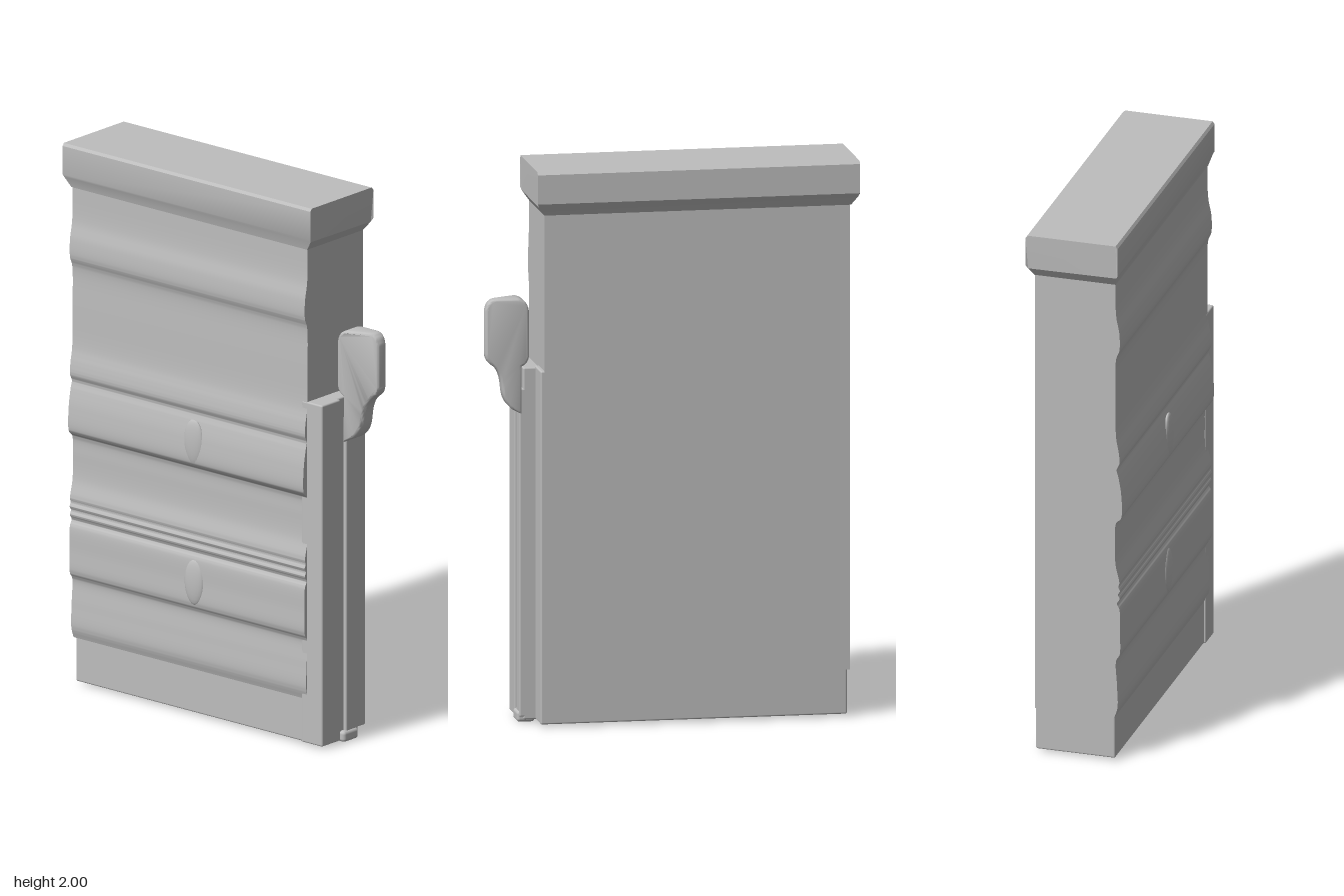
import * as THREE from 'three';
import { toCreasedNormals } from 'three/addons/utils/BufferGeometryUtils.js';
import { RoundedBoxGeometry } from 'three/addons/geometries/RoundedBoxGeometry.js';

const grey = new THREE.MeshStandardMaterial({ color: 0xbebebe });
grey.name = 'plain grey';

function add(parent, name, geometry) {
  const mesh = new THREE.Mesh(geometry, grey);
  mesh.name = name;
  parent.add(mesh);
  return mesh;
}

// Box given by its limits, with small rounded edges
function block(parent, name, [x0, x1], [y0, y1], [z0, z1], r = 0.006) {
  const mesh = add(parent, name, new RoundedBoxGeometry(x1 - x0, y1 - y0, z1 - z0, 2, r));
  mesh.position.set((x0 + x1) / 2, (y0 + y1) / 2, (z0 + z1) / 2);
  return mesh;
}

// Sweep a side profile of [z, y] points along x
function sweepX(points, x0, x1) {
  const shape = new THREE.Shape(points.map(([z, y]) => new THREE.Vector2(-z, y)));
  const geometry = new THREE.ExtrudeGeometry(shape, { depth: x1 - x0, bevelEnabled: false });
  geometry.rotateY(Math.PI / 2).translate(x0, 0, 0);
  return toCreasedNormals(geometry, 0.6);
}

// Smooth front outline through a few [z, y] points
function smooth(points, count) {
  const curve = new THREE.CatmullRomCurve3(points.map(([z, y]) => new THREE.Vector3(z, y, 0)), false, 'centripetal');
  return curve.getPoints(count).map((p) => [p.x, p.y]);
}

export function createModel() {
  const group = new THREE.Group();
  group.name = 'slimCase';

  // Foot, set in slightly from the body
  block(group, 'foot', [-0.62, 0.475], [0.01, 0.22], [-0.15, 0.143]);

  // Case body with a gently rippled front
  const front = smooth([
    [0.143, 0.17], [0.155, 0.21], [0.153, 0.3], [0.15, 0.39], [0.163, 0.415], [0.164, 0.5],
    [0.162, 0.59], [0.153, 0.61], [0.163, 0.63], [0.157, 0.645], [0.164, 0.66], [0.158, 0.675],
    [0.162, 0.69], [0.148, 0.76], [0.146, 0.85], [0.15, 0.92], [0.168, 0.94], [0.169, 1.03],
    [0.158, 1.1], [0.152, 1.125], [0.162, 1.15], [0.16, 1.19], [0.15, 1.25], [0.148, 1.4],
    [0.15, 1.55], [0.162, 1.585], [0.162, 1.65], [0.15, 1.72], [0.148, 1.9],
  ], 200);
  add(group, 'body', sweepX([[-0.15, 0.17], ...front, [-0.15, 1.9]], -0.63, 0.467));

  // Small nubs in the middle of the two raised bands
  for (const [y, z] of [[1.02, 0.163], [0.5, 0.16]]) {
    const nub = add(group, 'bandNub', new THREE.SphereGeometry(1, 20, 12));
    nub.scale.set(0.045, 0.085, 0.015);
    nub.position.set(-0.05, y, z);
  }

  // Flared cap
  const cap = [
    [-0.15, 1.84], [0.15, 1.84], [0.16, 1.875], [0.165, 1.885], [0.165, 1.99],
    [0.158, 2], [-0.165, 2], [-0.175, 1.99], [-0.175, 1.885], [-0.167, 1.872],
  ];
  const capGeometry = sweepX(cap, -0.662, 0.495);
  const p = capGeometry.attributes.position;
  for (let i = 0; i < p.count; i++) {
    if (p.getY(i) < 1.88) { // draw the lower lip in to meet the sides
      const t = (1.88 - p.getY(i)) / 0.04;
      p.setX(i, p.getX(i) + (p.getX(i) < 0 ? 1 : -1) * 0.028 * t);
    }
  }
  capGeometry.computeVertexNormals();
  add(group, 'cap', toCreasedNormals(capGeometry, 0.5));

  // Side housing: front strip, grooved rail and rear panel
  block(group, 'frontStrip', [0.44, 0.537], [0.01, 1.275], [0.05, 0.15]);
  block(group, 'sideRail', [0.44, 0.523], [0.01, 1.275], [-0.045, 0.06]);
  block(group, 'railRib', [0.49, 0.537], [0.02, 1.2], [-0.045, 0.02]);
  block(group, 'rearPanel', [0.44, 0.48], [0.01, 1.28], [-0.15, -0.03]);
  block(group, 'railFoot', [0.48, 0.545], [0, 0.04], [-0.04, 0.04], 0.012);

  // Thumb lever, thinned and set back towards its outer edge
  const outline = new THREE.Shape();
  outline.moveTo(0.53, 1.11);
  outline.lineTo(0.56, 1.125);
  outline.quadraticCurveTo(0.595, 1.15, 0.6, 1.2);
  outline.quadraticCurveTo(0.605, 1.27, 0.64, 1.29);
  outline.quadraticCurveTo(0.66, 1.305, 0.66, 1.33);
  outline.lineTo(0.66, 1.48);
  outline.quadraticCurveTo(0.655, 1.525, 0.62, 1.525);
  outline.lineTo(0.545, 1.525);
  outline.quadraticCurveTo(0.505, 1.52, 0.502, 1.47);
  outline.lineTo(0.502, 1.32);
  outline.quadraticCurveTo(0.505, 1.29, 0.53, 1.28);
  const lever = new THREE.ExtrudeGeometry(outline, {
    depth: 0.066, bevelThickness: 0.01, bevelSize: 0.008, bevelOffset: -0.008, bevelSegments: 3, curveSegments: 8,
  });
  lever.translate(0, 0, -0.045);
  const q = lever.attributes.position;
  for (let i = 0; i < q.count; i++) {
    const t = THREE.MathUtils.smoothstep(q.getX(i), 0.54, 0.64);
    if (q.getZ(i) > -0.02) q.setZ(i, q.getZ(i) - 0.04 * t);
  }
  lever.computeVertexNormals();
  add(group, 'thumbLever', toCreasedNormals(lever, 0.7));

  return group;
}
